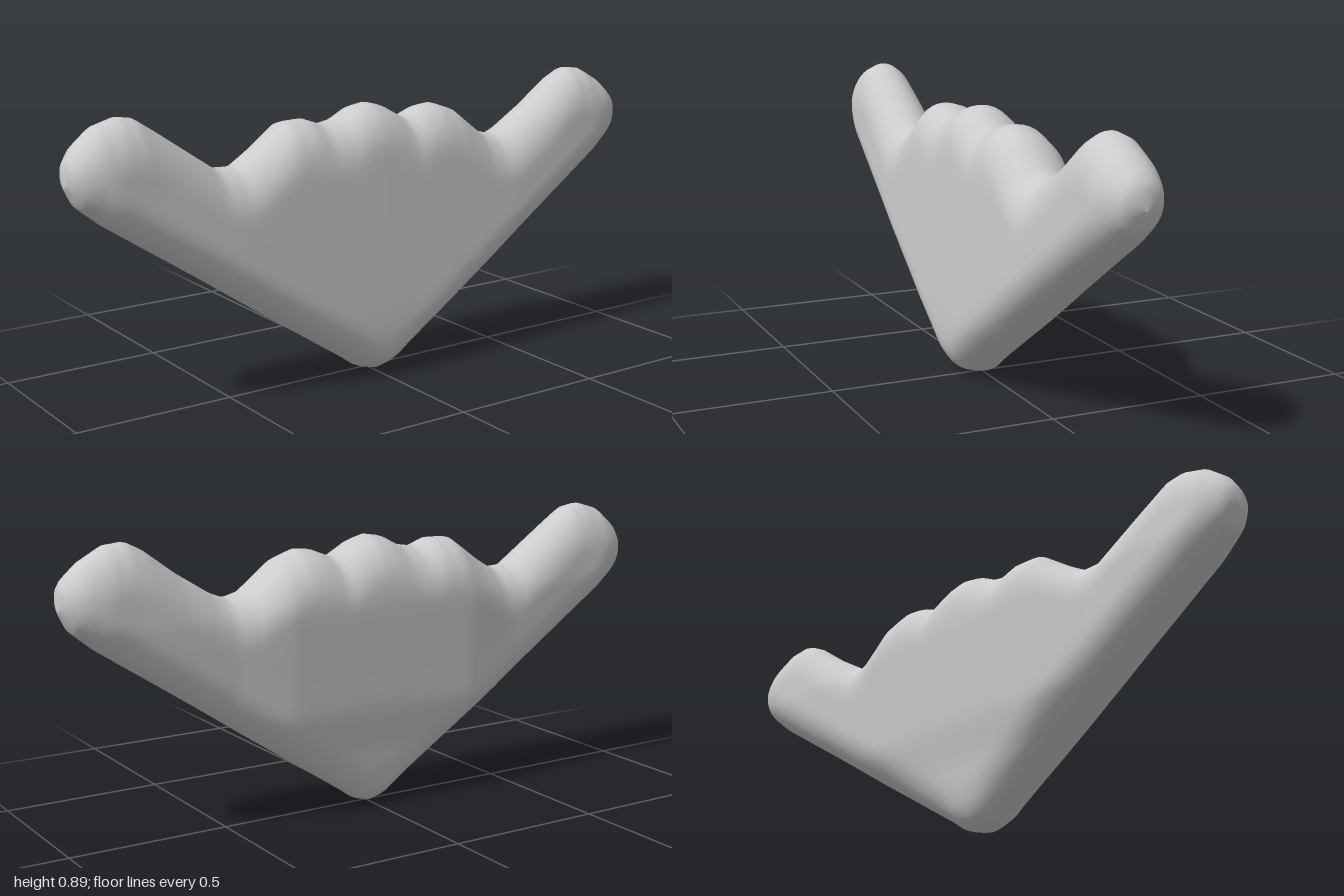
import * as THREE from 'three';

// Piecewise-linear lookup in a list of [input, value] pairs
function lookup(table, v) {
  if (v <= table[0][0]) return table[0][1];
  for (let i = 1; i < table.length; i++) {
    const [a, p] = table[i - 1], [b, q] = table[i];
    if (v <= b) return p + (q - p) * (v - a) / (b - a);
  }
  return table[table.length - 1][1];
}

// Scalloped top edge, y by x
const topEdge = [
  [-1, 0.77], [-0.97, 0.82], [-0.91, 0.87], [-0.84, 0.89], [-0.79, 0.882], [-0.72, 0.835],
  [-0.54, 0.71], [-0.47, 0.706], [-0.4, 0.748], [-0.3, 0.82], [-0.23, 0.822], [-0.17, 0.8],
  [-0.11, 0.81], [-0.05, 0.842], [0, 0.85], [0.05, 0.837], [0.13, 0.792], [0.2, 0.82],
  [0.25, 0.825], [0.32, 0.8], [0.43, 0.715], [0.49, 0.7], [0.54, 0.72], [0.65, 0.79],
  [0.75, 0.865], [0.8, 0.89], [0.86, 0.884], [0.93, 0.845], [0.98, 0.802], [1, 0.77],
];
// V-shaped bottom edge, y by |x|
const bottomEdge = [
  [0, 0], [0.05, 0.013], [0.1, 0.05], [0.4, 0.252], [0.6, 0.39], [0.9, 0.592], [0.97, 0.65], [1, 0.71],
];
// Depths of the front and back faces by y, and how they shrink with |x|
const frontDepth = [[0.1, 0.135], [0.2, 0.135], [0.5, 0.122], [0.7, 0.112], [0.9, 0.108]];
const backDepth = [[0.1, 0.08], [0.2, 0.09], [0.32, 0.115], [0.45, 0.122], [0.65, 0.135], [0.76, 0.13], [0.9, 0.12]];
const frontTaper = [[0, 1], [0.5, 0.98], [0.85, 0.92], [1, 0.88]];
const backTaper = [[0, 1], [0.32, 1], [0.5, 0.85], [0.8, 0.74], [1, 0.72]];

// Closed cross-section at x: up the front, down the back
function section(x, n) {
  const ax = Math.abs(x);
  const low = lookup(bottomEdge, ax), high = lookup(topEdge, x);
  const h = high - low;
  const tip = 0.22 + 0.78 * Math.sqrt(1 - Math.max(0, (ax - 0.86) / 0.14) ** 2);
  const rLow = Math.min(0.13, h / 2), rHigh = Math.min(0.15, h / 2);
  const points = [];
  for (let j = 0; j < 2 * n; j++) {
    const front = j < n;
    const u = (front ? j : 2 * n - j) / n;
    const y = low + h * (1 - Math.cos(Math.PI * u)) / 2;
    const t = Math.min(1, (y - low) / rLow, (high - y) / rHigh);
    const round = Math.pow(Math.max(0, 1 - Math.pow(1 - Math.max(0, t), 2.1)), 0.5);
    const depth = front
      ? lookup(frontDepth, y) * lookup(frontTaper, ax)
      : -lookup(backDepth, y) * lookup(backTaper, ax);
    points.push(x, y, depth * round * tip);
  }
  return points;
}

export function createModel() {
  const group = new THREE.Group();
  group.name = 'flyingWing';

  const columns = 128, n = 28, ring = 2 * n;
  const positions = [], index = [];
  for (let i = 0; i <= columns; i++) {
    // Columns crowd together toward the rounded wing tips
    const s = -1 + 2 * i / columns;
    const x = 0.6 * s + 0.4 * Math.sin(s * Math.PI / 2);
    positions.push(...section(x, n));
  }
  for (let i = 0; i < columns; i++) {
    for (let j = 0; j < ring; j++) {
      const a = i * ring + j, b = i * ring + (j + 1) % ring;
      index.push(a, a + ring, b, b, a + ring, b + ring);
    }
  }
  // Small caps on the wing tips
  const last = columns * ring;
  for (let j = 1; j < ring - 1; j++) {
    index.push(0, j, j + 1);
    index.push(last, last + j + 1, last + j);
  }
  // Fix cap winding so both tips face outward
  for (let k = columns * ring * 6; k < index.length; k += 3) {
    const [p, q, r] = [0, 1, 2].map((o) => new THREE.Vector3().fromArray(positions, index[k + o] * 3));
    const nx = q.sub(p).cross(r.sub(p)).x;
    if (nx * p.x < 0) [index[k + 1], index[k + 2]] = [index[k + 2], index[k + 1]];
  }

  const geometry = new THREE.BufferGeometry();
  geometry.setAttribute('position', new THREE.Float32BufferAttribute(positions, 3));
  geometry.setIndex(index);
  geometry.computeVertexNormals();

  const body = new THREE.Mesh(geometry, new THREE.MeshStandardMaterial({ color: 0xcccccc }));
  body.name = 'wingBody';
  group.add(body);
  return group;
}
